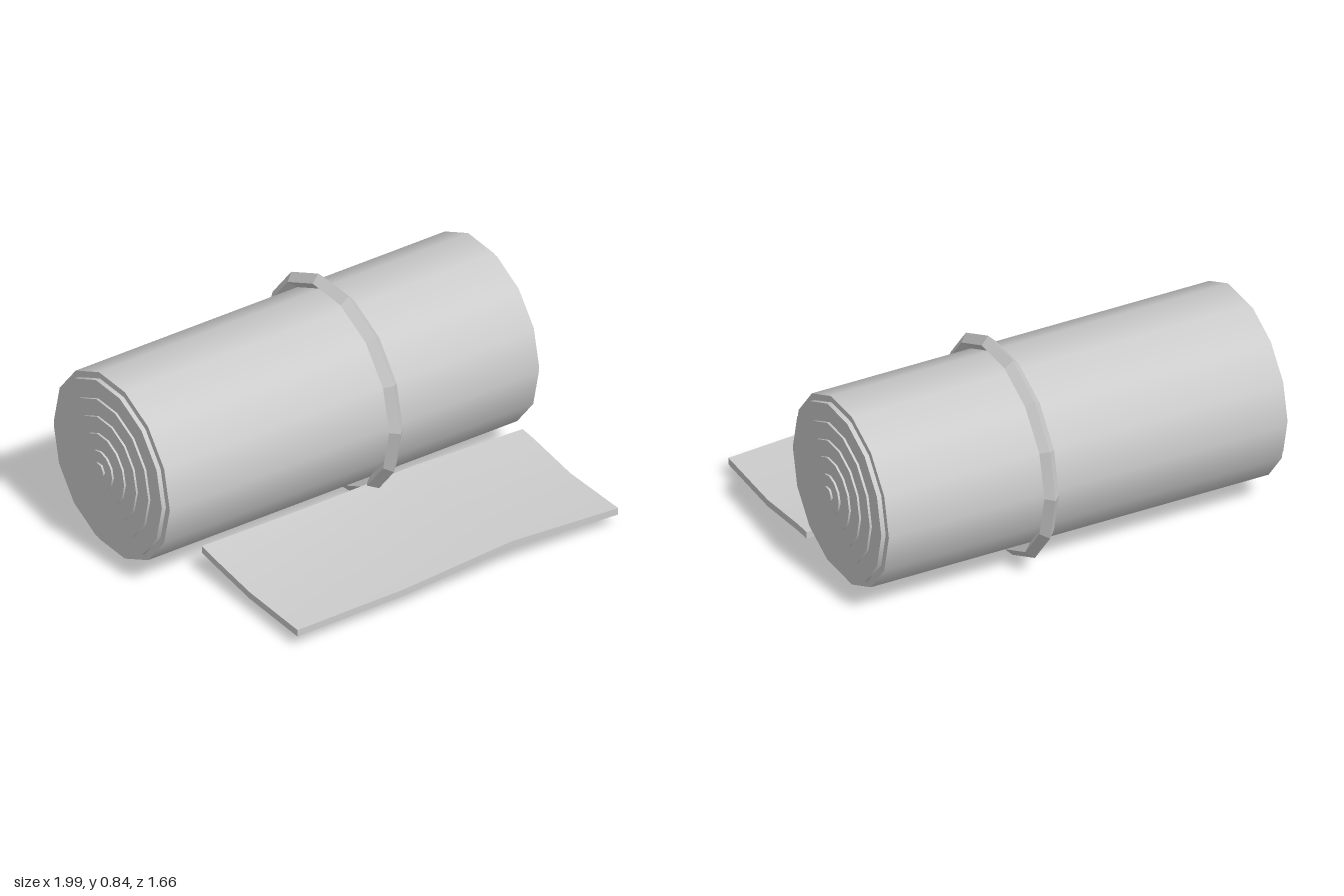
import * as THREE from 'three';

const SIDES = 14;
const AXIS_Y = 0.42;      // height of the roll's centre line
const HALF_LENGTH = 0.82;

// Cylinder lying along x
function lyingCylinder(radius, length, sides) {
  return new THREE.CylinderGeometry(radius, radius, length, sides).rotateZ(-Math.PI / 2);
}

// Unrolled flap: a thin slab whose height follows a gentle 4 x 4 wave
function flapGeometry() {
  const width = 1.425, depth = 0.61;
  const rows = [-0.5, -0.39, 0.0, 0.5];         // fractions of the depth, back to front
  const heights = [
    [0.105, 0.1, 0.108, 0.088],
    [0.094, 0.09, 0.102, 0.085],
    [0.066, 0.066, 0.09, 0.058],
    [0.063, 0.066, 0.098, 0.068],
  ];
  const geo = new THREE.BoxGeometry(3, 0.028, 3, 3, 1, 3);
  const pos = geo.attributes.position;
  for (let i = 0; i < pos.count; i++) {
    const col = Math.round(pos.getX(i) + 1.5);
    const row = Math.round(pos.getZ(i) + 1.5);
    pos.setXYZ(i, (col / 3 - 0.5) * width, pos.getY(i) + heights[row][col], rows[row] * depth);
  }
  geo.computeVertexNormals();
  return geo;
}

export function createModel() {
  const model = new THREE.Group();
  model.name = 'bedroll';
  const cloth = new THREE.MeshStandardMaterial({ color: 0xcccccc });
  cloth.name = 'light grey';

  const add = (name, geo, x, y, z) => {
    const mesh = new THREE.Mesh(geo, cloth);
    mesh.name = name;
    mesh.position.set(x, y, z);
    model.add(mesh);
    return mesh;
  };

  // Rolled body
  add('roll', lyingCylinder(0.37, HALF_LENGTH * 2, SIDES), 0, AXIS_Y, 0);

  // Stepped layers on both ends: radius, protrusion, sides
  const layers = [
    [0.345, 0.018, 14], [0.272, 0.027, 14], [0.205, 0.035, 14],
    [0.14, 0.043, 14], [0.075, 0.051, 12], [0.03, 0.059, 6],
  ];
  for (const side of [-1, 1]) {
    for (const [radius, out, sides] of layers) {
      add('endLayer', lyingCylinder(radius, out, sides), side * (HALF_LENGTH + out / 2), AXIS_Y, 0);
    }
  }

  // Strap with a diamond section, hard edged
  const strap = new THREE.TorusGeometry(0.4, 0.03, 4, SIDES).rotateY(Math.PI / 2).toNonIndexed();
  strap.computeVertexNormals();
  add('strap', strap, 0.164, AXIS_Y, 0);

  // Loose end lying on the ground
  add('flap', flapGeometry(), 0.1185, 0, 0.555);

  model.rotation.y = 0.374;
  model.position.set(-0.0925, 0, -0.1975);
  const root = new THREE.Group();
  root.add(model);
  return root;
}
